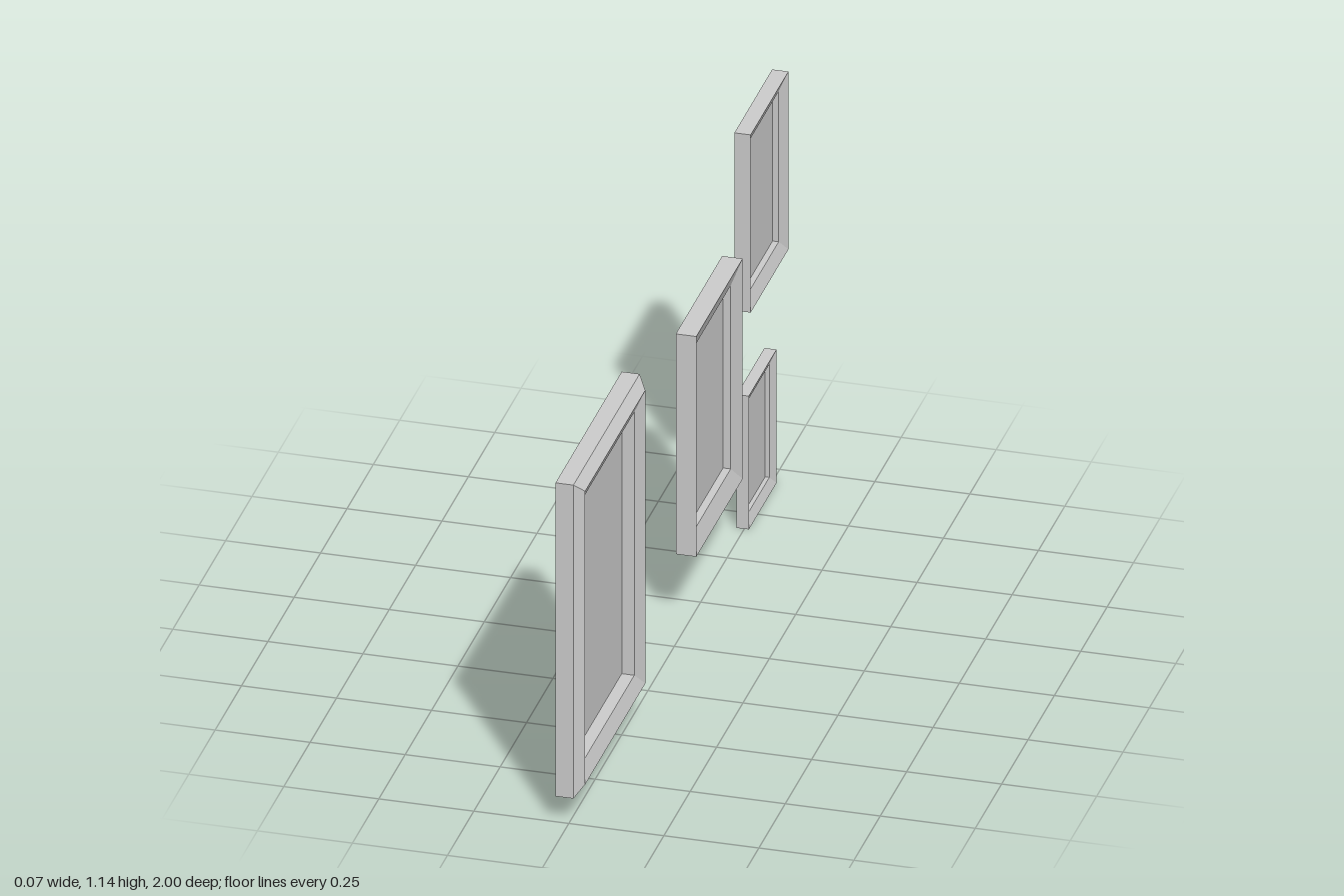
import * as THREE from 'three';

const material = new THREE.MeshStandardMaterial({ color: 0xcccccc, flatShading: true });

// Corners of a rectangle inset from the frame's outline, counter-clockwise seen from +x
function ring({ z, y }, [inset, x]) {
  const z0 = z[0] + inset, z1 = z[1] - inset;
  const y0 = y[0] + inset, y1 = y[1] - inset;
  return [[x, y0, z1], [x, y0, z0], [x, y1, z0], [x, y1, z1]];
}

function quadMesh(name, quads) {
  const positions = quads.flatMap(([a, b, c, d]) => [a, b, c, a, c, d].flat());
  const geometry = new THREE.BufferGeometry();
  geometry.setAttribute('position', new THREE.Float32BufferAttribute(positions, 3));
  geometry.computeVertexNormals();
  const mesh = new THREE.Mesh(geometry, material);
  mesh.name = name;
  return mesh;
}

// A frame: mitred moulding swept through the profile, flat back, recessed panel
function pictureFrame(spec) {
  const rings = spec.profile.map((p) => ring(spec, p));
  const moulding = [];
  for (let r = 0; r < rings.length - 1; r++) {
    const a = rings[r], b = rings[r + 1];
    for (let i = 0; i < 4; i++) {
      const j = (i + 1) % 4;
      moulding.push([a[i], a[j], b[j], b[i]]);
    }
  }
  const group = new THREE.Group();
  group.name = spec.name;
  group.add(
    quadMesh('moulding', moulding),
    quadMesh('backBoard', [[...rings[0]].reverse()]),
    quadMesh('picturePanel', [rings[rings.length - 1]])
  );
  return group;
}

// Outline ranges in z and y; profile is [inset, x] from the back edge to the panel
const frames = [
  {
    name: 'largeFrame', z: [0.372, 1], y: [0.073, 0.971],
    profile: [[0, -0.035], [0, 0.012], [0.029, 0.035], [0.072, 0.018], [0.072, -0.015]],
  },
  {
    name: 'mediumFrame', z: [-0.548, -0.108], y: [0.206, 0.837],
    profile: [[0, -0.026], [0, 0.028], [0.053, 0.011], [0.053, -0.009]],
  },
  {
    name: 'upperFrame', z: [-1, -0.642], y: [0.634, 1.143],
    profile: [[0, -0.02], [0, 0.023], [0.039, 0.008], [0.039, -0.008]],
  },
  {
    name: 'smallFrame', z: [-0.927, -0.664], y: [0, 0.382],
    profile: [[0, -0.02], [0, 0.012], [0.029, 0.001], [0.029, -0.01]],
  },
];

export function createModel() {
  const model = new THREE.Group();
  model.name = 'wallFrames';
  frames.forEach((spec) => model.add(pictureFrame(spec)));
  return model;
}
